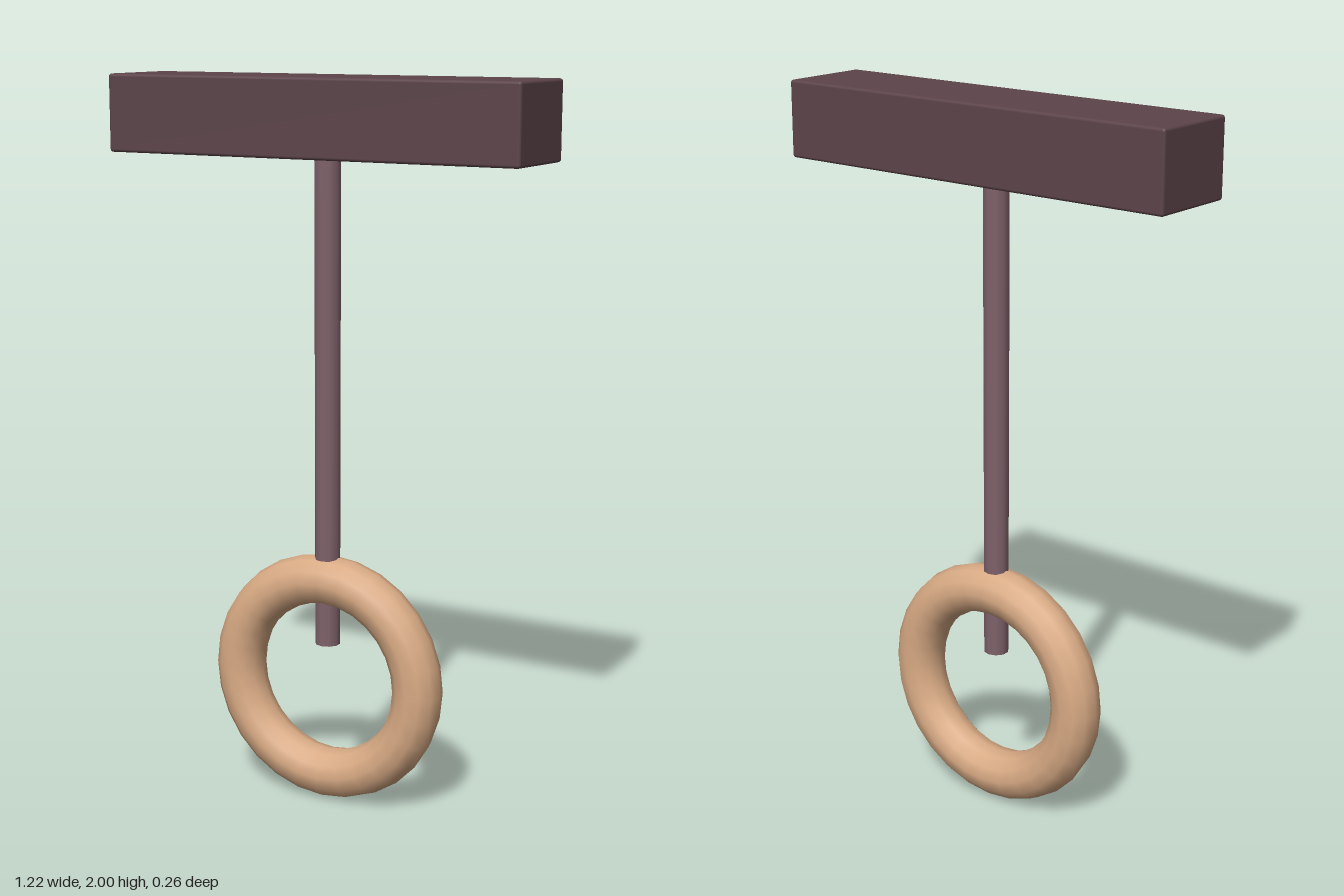
import * as THREE from 'three';
import { RoundedBoxGeometry } from 'three/addons/geometries/RoundedBoxGeometry.js';

const material = (name, color) => {
  const m = new THREE.MeshStandardMaterial({ color });
  m.name = name;
  return m;
};

export function createModel() {
  const group = new THREE.Group();
  group.name = 'hangingRing';

  const darkWood = material('dark wood', 0x5c444a);
  const mauveRope = material('mauve rope', 0x80626b);
  const paleWood = material('pale wood', 0xd8aa84);

  const add = (name, geometry, mat, y) => {
    const mesh = new THREE.Mesh(geometry, mat);
    mesh.name = name;
    mesh.position.y = y;
    group.add(mesh);
    return mesh;
  };

  // Overhead beam with slightly softened edges
  add('beam', new RoundedBoxGeometry(1.22, 0.21, 0.26, 2, 0.008), darkWood, 1.895);

  // Rope running from the beam, through the ring, to a free end
  const bottom = 0.45, top = 1.8;
  add('rope', new THREE.CylinderGeometry(0.036, 0.035, top - bottom, 10), mauveRope, (top + bottom) / 2);

  // Hand ring, facing the front
  add('ring', new THREE.TorusGeometry(0.281, 0.069, 12, 28), paleWood, 0.353);

  return group;
}
